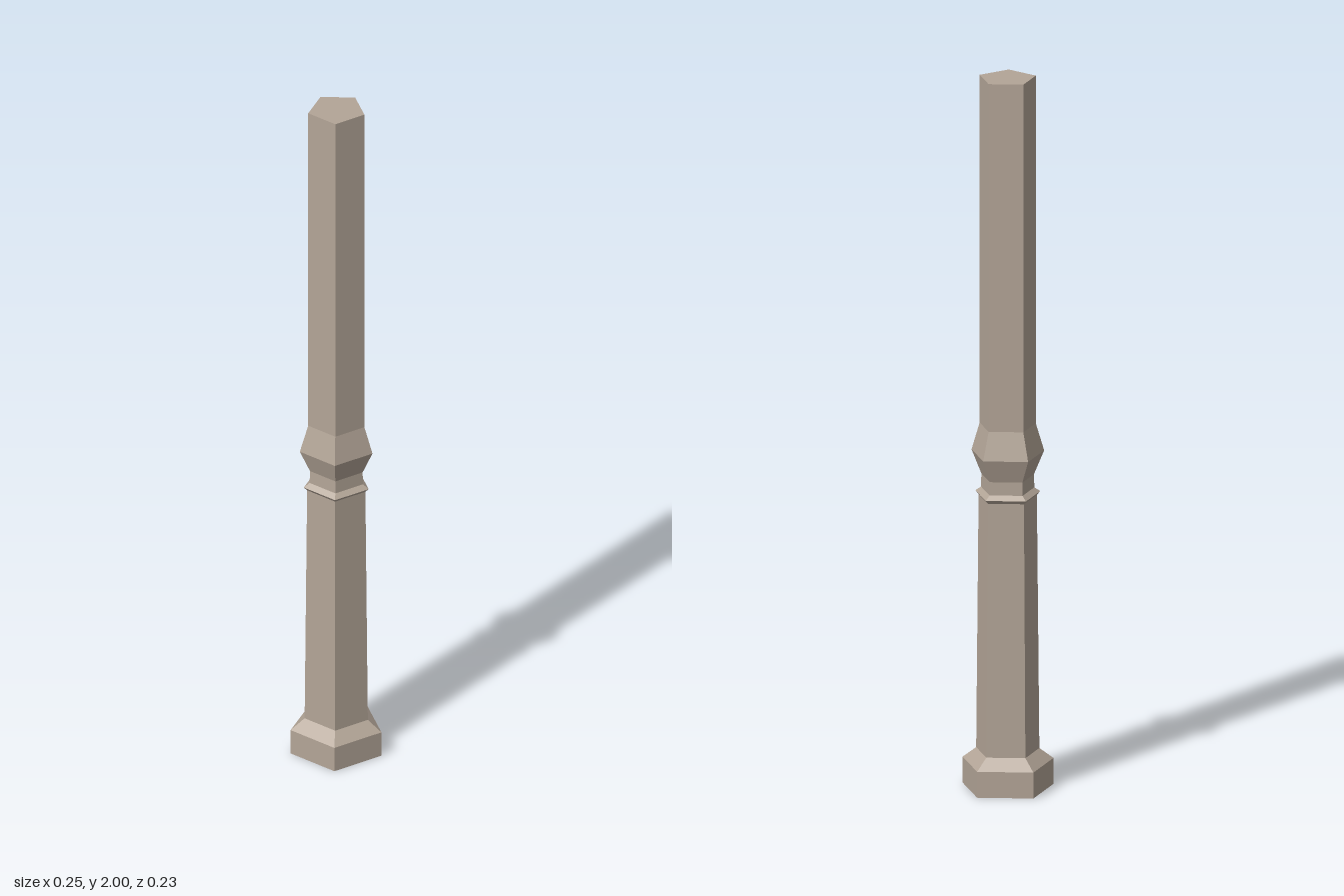
import * as THREE from 'three';

export function createModel() {
  const group = new THREE.Group();
  const stone = new THREE.MeshStandardMaterial({ color: 0xb3a597, flatShading: true });
  stone.name = 'warm grey stone';

  // Five-sided section turned from [radius, height] pairs, one corner facing the back
  function addSection(name, profile) {
    const points = profile.map(([r, y]) => new THREE.Vector2(r, y));
    const geometry = new THREE.LatheGeometry(points, 5, Math.PI).toNonIndexed();
    geometry.computeVertexNormals();
    const mesh = new THREE.Mesh(geometry, stone);
    mesh.name = name;
    mesh.position.z = 0.012;
    group.add(mesh);
  }

  // Foot block with sloped shoulder, closed underneath
  addSection('plinth', [[0, 0], [0.1295, 0], [0.1295, 0.073], [0.09, 0.104]]);
  // Slightly tapering lower post
  addSection('lowerShaft', [[0.09, 0.104], [0.083, 0.818]]);
  // Thin projecting ring
  addSection('collar', [[0.083, 0.818], [0.0925, 0.828], [0.076, 0.84]]);
  // Neck and swelling
  addSection('neck', [[0.076, 0.84], [0.075, 0.877]]);
  addSection('bulge', [[0.075, 0.877], [0.1035, 0.942], [0.08, 1.02]]);
  // Straight upper post, closed on top
  addSection('upperShaft', [[0.08, 1.02], [0.08, 2], [0, 2]]);

  return group;
}
